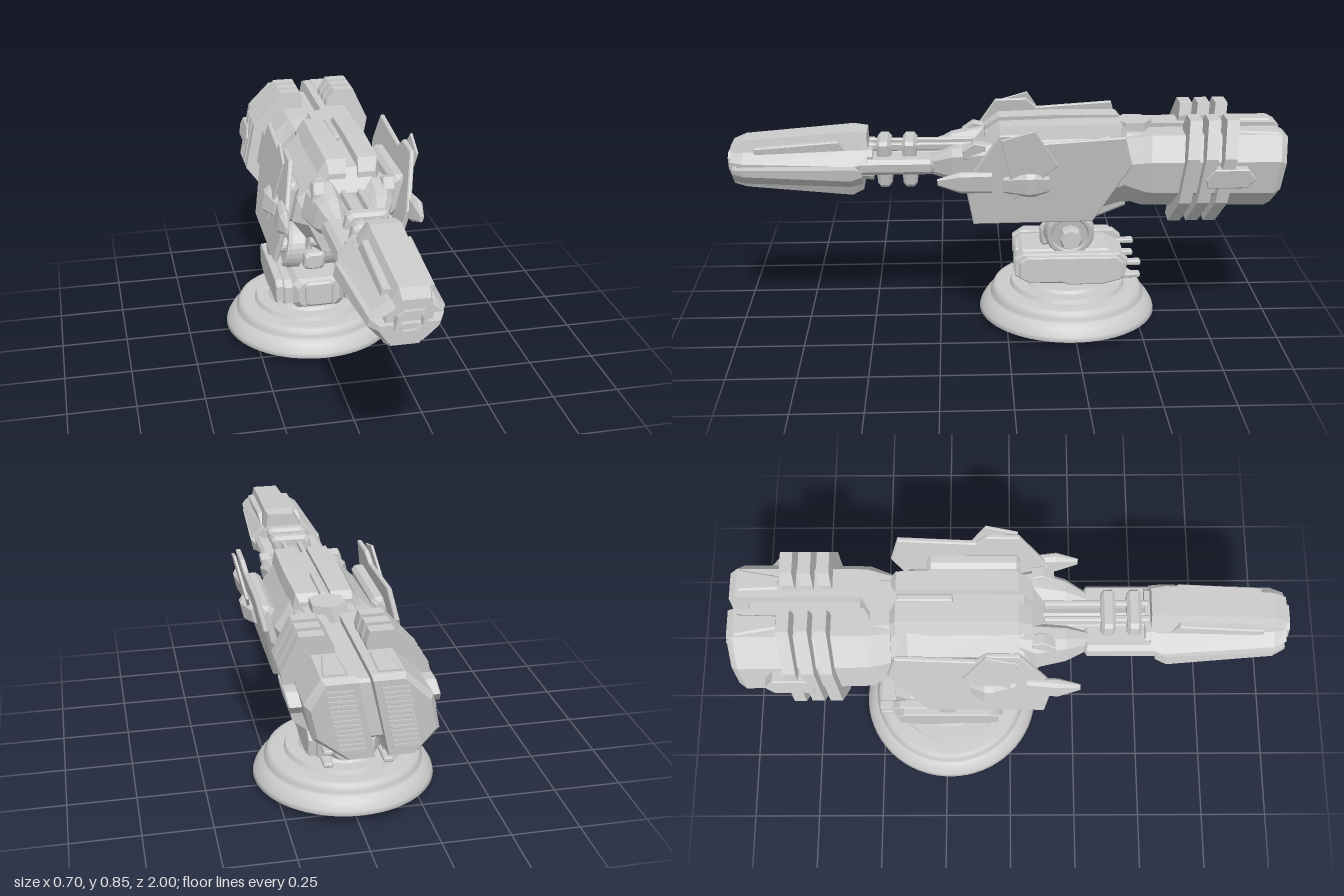
import * as THREE from 'three';

const CX = -0.015, CZ = -0.235; // turntable axis

// Closed hull through convex rings [[x, y], ...] (counter-clockwise from +z), listed front to back
function loft(sections) {
  const rings = sections.map(({ z, pts, lean = 0 }) => pts.map(([x, y]) => [x, y, z + lean * (y - 0.64)]));
  const out = [], n = rings[0].length;
  const tri = (...v) => v.forEach((p) => out.push(...p));
  for (let s = 0; s < rings.length - 1; s++) {
    for (let i = 0; i < n; i++) {
      const j = (i + 1) % n, a = rings[s], b = rings[s + 1];
      tri(a[i], b[i], b[j]);
      tri(a[i], b[j], a[j]);
    }
  }
  const f = rings[0], l = rings[rings.length - 1];
  for (let i = 1; i < n - 1; i++) {
    tri(f[0], f[i], f[i + 1]);
    tri(l[0], l[i + 1], l[i]);
  }
  const g = new THREE.BufferGeometry();
  g.setAttribute('position', new THREE.Float32BufferAttribute(out, 3));
  return g;
}

// Rectangle with cut corners
const cut = (x0, x1, y0, y1, c, d = c) => [
  [x0 + c, y0], [x1 - c, y0], [x1, y0 + d], [x1, y1 - d],
  [x1 - c, y1], [x0 + c, y1], [x0, y1 - d], [x0, y0 + d]];

// Symmetric trapezoid, half width w0 at y0 and w1 at y1
const trap = (w0, y0, w1, y1) => [[-w0, y0], [w0, y0], [w1, y1], [-w1, y1]];

const block = (x0, x1, y0, y1, z0, z1, c = 0.01) => loft([
  { z: z1, pts: cut(x0 + c, x1 - c, y0 + c, y1 - c, c) }, { z: z1 - c, pts: cut(x0, x1, y0, y1, c) },
  { z: z0 + c, pts: cut(x0, x1, y0, y1, c) }, { z: z0, pts: cut(x0 + c, x1 - c, y0 + c, y1 - c, c) }]);

// Side plate: outline in (z, y), thickness along x starting at x
function plate(outline, x, t, bevel = 0.004) {
  const s = new THREE.Shape(outline.map(([z, y]) => new THREE.Vector2(-z, y)));
  const g = new THREE.ExtrudeGeometry(s, { depth: t, bevelThickness: bevel, bevelSize: bevel, bevelOffset: -bevel, bevelSegments: 1 });
  return g.rotateY(Math.PI / 2).translate(x, 0, 0);
}

// Disc or drum whose axis runs along x
const drum = (r, x0, x1, y, z, sides, r2 = r) =>
  new THREE.CylinderGeometry(r2, r, x1 - x0, sides).rotateZ(-Math.PI / 2).translate((x0 + x1) / 2, y, z);

function mirrored(geo) {
  const g = geo.index ? geo.toNonIndexed() : geo.clone();
  const p = g.attributes.position;
  for (let i = 0; i < p.count; i += 3) {
    const v = [0, 2, 1].map((k) => [-p.getX(i + k), p.getY(i + k), p.getZ(i + k)]);
    v.forEach((q, k) => p.setXYZ(i + k, ...q));
  }
  return g;
}

// Sideways lean: the gun leans above the pivot, the yoke discs lean over their full height
const gunLean = (y) => 0.22 * Math.max(0, y - 0.33);
const yokeLean = (y) => 0.22 * (y - 0.34);
const upright = () => 0;

export function createModel() {
  const model = new THREE.Group();
  model.name = 'turret';
  const mat = new THREE.MeshStandardMaterial({ color: 0xcccccc, flatShading: true });
  const smooth = new THREE.MeshStandardMaterial({ color: 0xcccccc, side: THREE.DoubleSide });

  const add = (name, geo, lean = gunLean) => {
    const g = geo.index ? geo.toNonIndexed() : geo;
    const p = g.attributes.position;
    for (let i = 0; i < p.count; i++) p.setX(i, p.getX(i) + CX + lean(p.getY(i)));
    g.computeVertexNormals();
    const m = new THREE.Mesh(g, mat);
    m.name = name;
    model.add(m);
  };
  const pair = (name, geo, lean) => {
    const other = mirrored(geo);
    add(name + 'Left', geo, lean);
    add(name + 'Right', other, lean);
  };

  // Round base with stepped rim and shallow pads underneath
  const profile = [[0, 0.004], [0.06, 0.004], [0.07, 0.012], [0.1, 0.012], [0.115, 0.01], [0.15, 0.025], [0.325, 0.023],
    [0.335, 0.028], [0.33, 0.045], [0.315, 0.07], [0.297, 0.085], [0.288, 0.09], [0.292, 0.1], [0.283, 0.11],
    [0.28, 0.122], [0.265, 0.126], [0.21, 0.127]];
  const base = new THREE.Mesh(new THREE.LatheGeometry(profile.map((p) => new THREE.Vector2(...p)), 64), smooth);
  base.name = 'base';
  base.position.set(CX, 0, CZ);
  model.add(base);
  for (let i = 0; i < 4; i++) {
    const a = i * Math.PI / 2;
    const pad = new THREE.Mesh(new THREE.SphereGeometry(1, 20, 10), smooth);
    pad.name = 'basePad';
    pad.scale.set(0.09, 0.012, 0.05);
    pad.rotation.y = -a + Math.PI / 2;
    pad.position.set(CX + 0.265 * Math.cos(a), 0.024, CZ + 0.265 * Math.sin(a));
    model.add(pad);
  }
  add('centrePad', new THREE.CylinderGeometry(0.09, 0.05, 0.02, 32).translate(0, 0.01, CZ));
  add('turntableLower', new THREE.CylinderGeometry(0.212, 0.22, 0.017, 40).translate(0, 0.134, CZ));
  add('turntableUpper', new THREE.CylinderGeometry(0.155, 0.165, 0.012, 40).translate(0, 0.147, CZ));

  // Pedestal on two feet, flanked by side boxes
  pair('foot', block(0.025, 0.085, 0.148, 0.185, -0.36, -0.12));
  add('pedestal', loft([
    { z: -0.04, pts: cut(-0.08, 0.08, 0.185, 0.28, 0.02) }, { z: -0.06, pts: cut(-0.1, 0.1, 0.172, 0.293, 0.02) },
    { z: -0.38, pts: cut(-0.1, 0.1, 0.172, 0.293, 0.02) }, { z: -0.44, pts: cut(-0.07, 0.07, 0.18, 0.27, 0.02) }]));
  add('pedestalFrontPanel', block(-0.055, 0.055, 0.185, 0.285, -0.08, -0.03, 0.008));
  const sideOutline = [[-0.03, 0.21], [-0.07, 0.19], [-0.2, 0.19], [-0.23, 0.18], [-0.36, 0.18], [-0.44, 0.2],
    [-0.45, 0.27], [-0.42, 0.295], [-0.06, 0.295], [-0.03, 0.275]];
  pair('sideBox', plate(sideOutline, 0.105, 0.028));
  pair('sideBoxCover', plate(sideOutline.map(([z, y]) => [-0.23 + (z + 0.23) * 0.92, y * 0.95 + 0.012]), 0.138, 0.024));
  pair('sideBoxStrut', block(0.085, 0.12, 0.22, 0.27, -0.33, -0.13));
  for (const y of [0.19, 0.24]) pair('rearPin', block(0.09, 0.125, y, y + 0.018, -0.5, -0.4, 0.004));

  // Yoke: discs with rings and hubs on the elevation axis
  pair('yokeDisc', drum(0.095, 0.045, 0.1, 0.36, CZ, 28, 0.088), yokeLean);
  pair('yokeRing', new THREE.TorusGeometry(0.077, 0.013, 6, 28).rotateY(Math.PI / 2).translate(0.097, 0.36, CZ), yokeLean);
  pair('axle', drum(0.03, 0.09, 0.13, 0.36, CZ, 16), upright);
  pair('hub', drum(0.043, 0.115, 0.148, 0.36, CZ, 8), upright);
  pair('hubCap', drum(0.043, 0.148, 0.165, 0.36, CZ, 8, 0.036), upright);
  add('yokeCore', block(-0.04, 0.04, 0.29, 0.36, -0.32, -0.13));
  pair('piston', block(0.012, 0.032, 0.3, 0.46, -0.22, -0.17, 0.005));
  add('saddle', loft([
    { z: -0.12, pts: cut(-0.04, 0.04, 0.43, 0.49, 0.012) }, { z: -0.18, pts: cut(-0.052, 0.052, 0.415, 0.5, 0.012) },
    { z: -0.34, pts: cut(-0.052, 0.052, 0.415, 0.5, 0.012) }, { z: -0.44, pts: cut(-0.05, 0.05, 0.46, 0.5, 0.012) }]));

  // Main hull with a centre channel between its top slabs
  const hull = (w, y0, y1) => [[-w * 0.42, y0], [w * 0.42, y0], [w, y0 + 0.11], [w, y1 - 0.11],
    [w * 0.5, y1], [-w * 0.5, y1], [-w, y1 - 0.11], [-w, y0 + 0.11]];
  add('hull', loft([
    { z: 0.12, pts: hull(0.13, 0.49, 0.715) }, { z: 0.05, pts: hull(0.175, 0.48, 0.785) },
    { z: -0.36, pts: hull(0.19, 0.475, 0.795) }, { z: -0.42, pts: hull(0.17, 0.49, 0.775) },
    { z: -0.5, pts: hull(0.17, 0.49, 0.775) }]));
  const slab = (w, y) => [[0.022, y - 0.05], [w + 0.02, y - 0.05], [w, y], [0.022, y]];
  pair('hullTopSlab', loft([
    { z: 0.08, pts: slab(0.085, 0.775) }, { z: 0.03, pts: slab(0.095, 0.812) },
    { z: -0.19, pts: slab(0.1, 0.818) }, { z: -0.4, pts: slab(0.095, 0.815) }, { z: -0.42, pts: slab(0.09, 0.79) }]));
  add('topBoss', new THREE.CylinderGeometry(0.065, 0.075, 0.05, 6).translate(0, 0.782, -0.455));
  add('topChannelRail', block(-0.012, 0.012, 0.78, 0.81, -0.4, -0.2, 0.004));
  pair('hullBelly', block(0.05, 0.105, 0.5, 0.54, -0.25, 0.1, 0.01));

  // Large side armour, raised arrow panel, outer bump and pointed front tips
  pair('armourMount', block(0.17, 0.228, 0.57, 0.73, -0.3, 0.04, 0.015));
  pair('armour', plate([[0.125, 0.47], [0.155, 0.635], [0.035, 0.822], [-0.08, 0.825], [-0.12, 0.79],
    [-0.4, 0.81], [-0.43, 0.7], [-0.3, 0.475]], 0.22, 0.01));
  pair('armourPanel', plate([[0.03, 0.81], [-0.085, 0.845], [-0.17, 0.71], [-0.02, 0.575]], 0.245, 0.006, 0.002));
  pair('armourBump', loft([
    { z: 0.02, pts: cut(0.225, 0.245, 0.6, 0.66, 0.008) }, { z: -0.06, pts: cut(0.225, 0.274, 0.59, 0.68, 0.015) },
    { z: -0.09, pts: cut(0.225, 0.274, 0.59, 0.68, 0.015) }, { z: -0.14, pts: cut(0.225, 0.245, 0.6, 0.66, 0.008) }]));
  pair('armourTip', loft([
    { z: 0.25, pts: cut(0.237, 0.25, 0.635, 0.66, 0.005) }, { z: 0.17, pts: cut(0.225, 0.262, 0.605, 0.685, 0.012) },
    { z: 0.06, pts: cut(0.22, 0.25, 0.6, 0.68, 0.01) }]));

  // Front arms reaching to the barrel neck
  pair('frontArm', loft([
    { z: 0.28, pts: cut(0.05, 0.1, 0.625, 0.69, 0.015) }, { z: 0.2, pts: cut(0.045, 0.135, 0.605, 0.73, 0.025) },
    { z: 0.09, pts: cut(0.045, 0.16, 0.6, 0.75, 0.03) }, { z: 0.03, pts: cut(0.05, 0.14, 0.6, 0.75, 0.02) }]));
  pair('armClaw', plate([[0.16, 0.7], [0.16, 0.735], [0.12, 0.765], [0.08, 0.755], [0.08, 0.7]], 0.11, 0.035));
  add('neck', block(-0.125, 0.125, 0.63, 0.69, 0.26, 0.54, 0.015));
  add('neckCore', drum(0.055, -0.3, 0.3, 0, 0, 8).rotateY(Math.PI / 2).translate(0, 0.655, 0.27));
  for (const z of [0.35, 0.442]) add('neckRing', block(-0.075, 0.075, 0.562, 0.745, z - 0.026, z + 0.026, 0.012));
  pair('neckRail', block(0.02, 0.04, 0.7, 0.73, 0.12, 0.5, 0.005));

  // Barrel: wide split side wings, a narrow ridge above and a keel below
  add('barrelCore', loft([
    { z: 0.97, pts: cut(-0.075, 0.075, 0.62, 0.7, 0.02) }, { z: 0.48, pts: cut(-0.1, 0.1, 0.6, 0.72, 0.02) }]));
  add('barrelUpperWing', loft([
    { z: 0.985, pts: trap(0.095, 0.682, 0.06, 0.705) }, { z: 0.94, pts: trap(0.115, 0.68, 0.075, 0.712) },
    { z: 0.55, pts: trap(0.135, 0.672, 0.085, 0.72) }, { z: 0.5, pts: trap(0.125, 0.68, 0.08, 0.715) }]));
  add('barrelRidge', loft([
    { z: 0.985, pts: trap(0.065, 0.69, 0.045, 0.732) }, { z: 0.94, pts: trap(0.07, 0.69, 0.048, 0.752) },
    { z: 0.55, pts: trap(0.085, 0.7, 0.055, 0.785) }, { z: 0.5, pts: trap(0.08, 0.7, 0.05, 0.778) }]));
  pair('barrelRidgeCheek', plate([[0.9, 0.7], [0.9, 0.73], [0.72, 0.745], [0.6, 0.755], [0.56, 0.7]], 0.045, 0.035));
  const wing = (w, y0, y1) => [[-w * 0.58, y0], [w * 0.58, y0], [w, y0 + 0.045], [w, y1], [-w, y1], [-w, y0 + 0.045]];
  add('barrelLowerWing', loft([
    { z: 0.985, pts: wing(0.095, 0.59, 0.65) }, { z: 0.94, pts: wing(0.118, 0.585, 0.655) },
    { z: 0.56, pts: wing(0.14, 0.57, 0.66) }, { z: 0.52, pts: wing(0.125, 0.58, 0.65) }]));
  add('barrelKeel', loft([
    { z: 0.985, pts: trap(0.045, 0.58, 0.055, 0.61) }, { z: 0.94, pts: trap(0.052, 0.567, 0.065, 0.61) },
    { z: 0.56, pts: trap(0.062, 0.53, 0.082, 0.6) }, { z: 0.52, pts: trap(0.055, 0.55, 0.075, 0.6) }]));
  const muzzle = new THREE.Shape(cut(-0.05, 0.05, 0.62, 0.7, 0.018).map((p) => new THREE.Vector2(...p)));
  muzzle.holes.push(new THREE.Path(cut(-0.035, 0.035, 0.633, 0.687, 0.014).map((p) => new THREE.Vector2(...p))));
  add('muzzle', new THREE.ExtrudeGeometry(muzzle, { depth: 0.06, bevelEnabled: false }).translate(0, 0, 0.94));

  // Twin rear pods with framed grilles
  const pod = (w, y0, y1) => [[0.022, y0], [w * 0.55, y0], [w, y0 + 0.085], [w, y1 - 0.085], [w * 0.65, y1], [0.022, y1]];
  add('rearSpine', block(-0.06, 0.06, 0.54, 0.745, -0.93, -0.45));
  pair('rearPod', loft([
    { z: -0.42, pts: pod(0.17, 0.51, 0.765) }, { z: -0.5, pts: pod(0.195, 0.49, 0.78), lean: -0.06 },
    { z: -0.955, pts: pod(0.2, 0.483, 0.78), lean: -0.1 }, { z: -0.98, pts: pod(0.185, 0.495, 0.768), lean: -0.1 }]));
  for (let i = 0; i < 13; i++) {
    const y = 0.532 + i * 0.0175;
    pair('grilleSlat', new THREE.BoxGeometry(0.085, 0.008, 0.008).translate(0.085, y, -0.981 - 0.1 * (y - 0.64)));
  }
  pair('podSidePanel', plate([[-0.7, 0.605], [-0.84, 0.605], [-0.87, 0.64], [-0.84, 0.68], [-0.72, 0.68], [-0.69, 0.64]], 0.195, 0.042));
  pair('podTopPanel', loft([
    { z: -0.82, pts: cut(0.05, 0.1, 0.765, 0.786, 0.006) }, { z: -0.96, pts: cut(0.045, 0.125, 0.765, 0.786, 0.006) }]));

  // Three armour ribs wrapped round each pod
  const rib = [[0.05, 0.43], [0.12, 0.425], [0.235, 0.545], [0.235, 0.72], [0.15, 0.845], [0.07, 0.845], [0.05, 0.8]];
  for (const z of [-0.635, -0.7, -0.765]) {
    pair('rib', loft([{ z: z + 0.022, pts: rib, lean: -0.1 }, { z: z - 0.022, pts: rib, lean: -0.1 }]));
  }
  return model;
}
